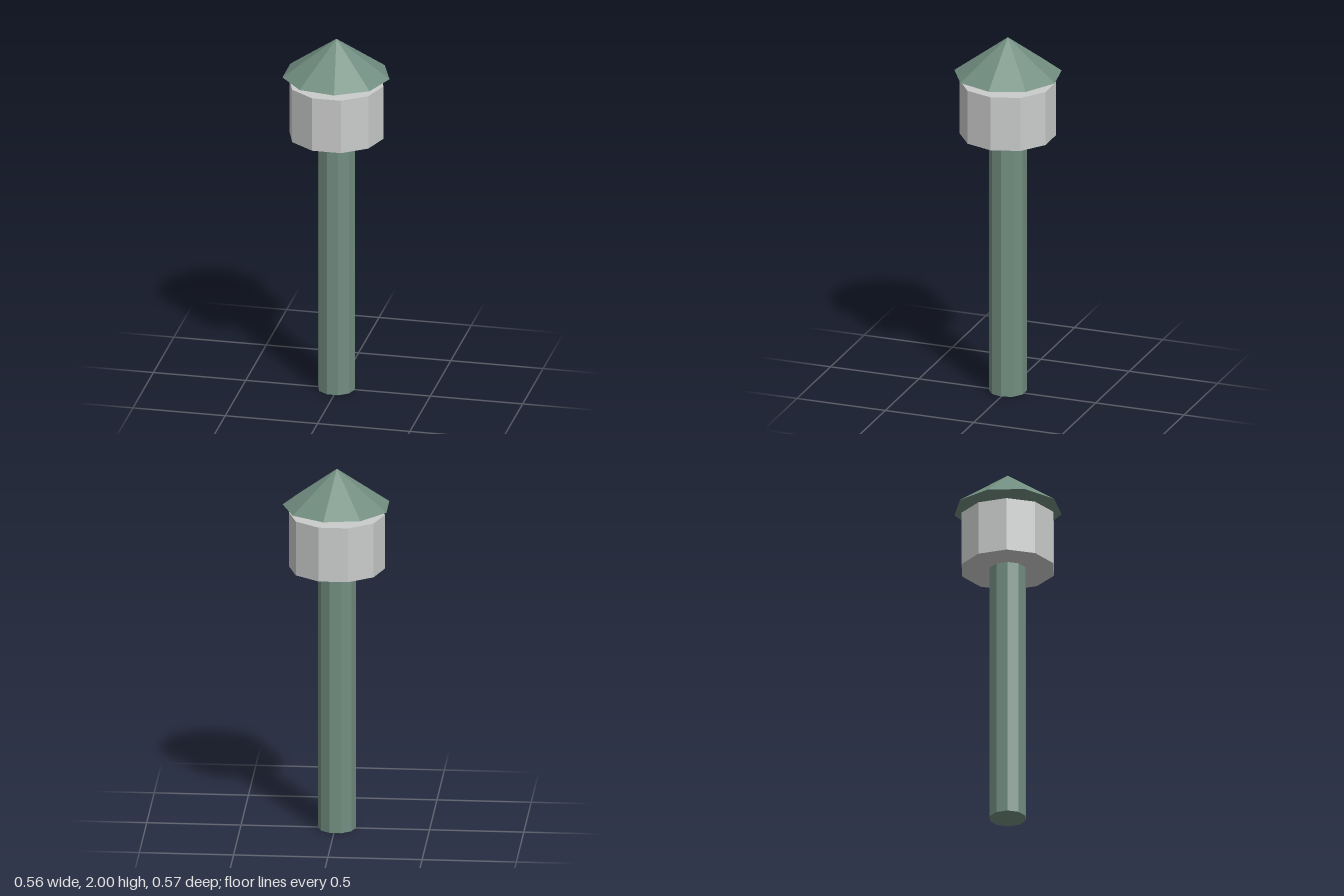
import * as THREE from 'three';

export function createModel() {
  const model = new THREE.Group();
  const green = new THREE.MeshStandardMaterial({ name: 'grey green', color: 0x718d80, flatShading: true });
  const grey = new THREE.MeshStandardMaterial({ name: 'light grey', color: 0xcaCBCB, flatShading: true });

  // Faceted upright prism or cone with one corner pointing to +x
  const addTurned = (name, topRadius, bottomRadius, y0, y1, sides, material) => {
    const geometry = new THREE.CylinderGeometry(
      topRadius, bottomRadius, y1 - y0, sides, 1, false, Math.PI / 2);
    const mesh = new THREE.Mesh(geometry, material);
    mesh.name = name;
    mesh.position.set(-0.0087, (y0 + y1) / 2, 0);
    model.add(mesh);
  };

  addTurned('post', 0.1, 0.1, 0, 1.45, 10, green);
  addTurned('lampHousing', 0.255, 0.255, 1.45, 1.75, 10, grey);
  // Pointed cap floating just above the housing
  addTurned('cap', 0, 0.288, 1.794, 2, 9, green);

  return model;
}
